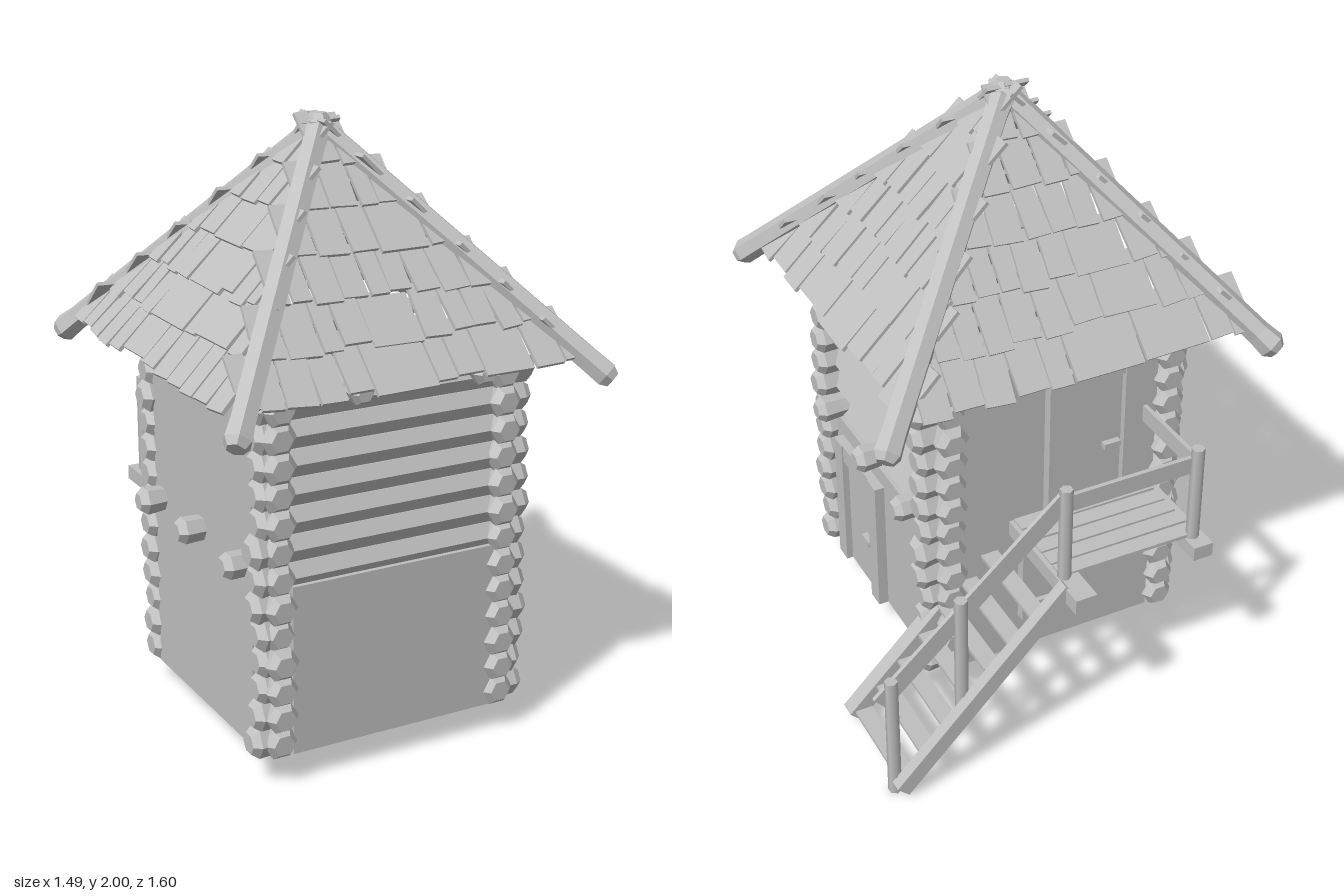
import * as THREE from 'three';

const wood = new THREE.MeshStandardMaterial({ color: 0xbfbfbf });
wood.name = 'plain grey wood';

let seed = 11;
const rnd = () => ((seed = (seed * 16807) % 2147483647) / 2147483647);
const jit = (a) => (rnd() * 2 - 1) * a;
const V = (x, y, z) => new THREE.Vector3(x, y, z);
const UP = V(0, 1, 0);

// tower centre lines
const XL = -0.46, XR = 0.33, ZF = 0.495, ZB = -0.31;
const CX = -0.07, CZ = 0.06;

function add(parent, name, geo) {
  const m = new THREE.Mesh(geo, wood);
  m.name = name;
  parent.add(m);
  return m;
}

// box given by its min and max corners
function box(parent, name, x0, x1, y0, y1, z0, z1) {
  const m = add(parent, name, new THREE.BoxGeometry(x1 - x0, y1 - y0, z1 - z0));
  m.position.set((x0 + x1) / 2, (y0 + y1) / 2, (z0 + z1) / 2);
  return m;
}

// faceted six-sided log with blunt, slightly swollen ends
function log(parent, name, a, b, r, phase = 0) {
  const d = b.clone().sub(a), L = d.length(), k = 0.025;
  const pts = [
    [0, 0], [r * 0.7, 0], [r * (1.1 + jit(0.08)), k], [r, k * 3.4],
    [r, L - k * 3.4], [r * (1.1 + jit(0.08)), L - k], [r * 0.7, L], [0, L],
  ].map(([x, y]) => new THREE.Vector2(x, y));
  const geo = new THREE.LatheGeometry(pts, 6, phase).toNonIndexed();
  geo.computeVertexNormals();
  const m = add(parent, name, geo);
  m.quaternion.setFromUnitVectors(UP, d.normalize());
  m.position.copy(a);
  return m;
}

// sloping plank in the xy plane between two points
function plank(parent, name, x0, y0, x1, y1, h, z, t) {
  const m = add(parent, name, new THREE.BoxGeometry(Math.hypot(x1 - x0, y1 - y0), h, t));
  m.position.set((x0 + x1) / 2, (y0 + y1) / 2, z);
  m.rotation.z = Math.atan2(y1 - y0, x1 - x0);
  return m;
}

function buildWalls() {
  const g = new THREE.Group();
  g.name = 'logWalls';
  for (let i = 0; i < 13; i++) {
    const y = 0.146 + i * 0.09;
    for (const z of [ZF, ZB])
      log(g, 'crossLog', V(-0.54 + jit(0.012), y, z), V(0.435 + jit(0.012), y, z), 0.051);
    for (const x of [XL, XR])
      log(g, 'sideLog', V(x, y, -0.395 + jit(0.012)), V(x, y, 0.57 + jit(0.012)), 0.051, Math.PI / 6);
  }
  // smooth cladding between the corner logs
  box(g, 'frontPanel', -0.42, 0.3, 0.1, 0.66, ZF, ZF + 0.052);
  box(g, 'rightPanel', XR, XR + 0.052, 0.1, 0.66, -0.27, 0.45);
  box(g, 'leftPanel', XL - 0.052, XL, 0.1, 1.24, -0.27, 0.45);
  box(g, 'backPanel', -0.42, 0.3, 0.1, 1.24, ZB - 0.052, ZB);
  // upper floor and the beams that carry it
  box(g, 'upperFloor', XL, XR, 0.67, 0.69, ZB, ZF);
  for (const z of [0.42, 0.09, -0.215])
    log(g, 'floorBeam', V(-0.6, 0.715, z), V(0.47, 0.715, z), 0.042);
  // roof bearers at the wall top
  for (const x of [-0.2, 0.23])
    log(g, 'roofBearer', V(x, 1.25, -0.42), V(x, 1.25, 0.6), 0.036, Math.PI / 6);
  for (const z of [0.33, -0.22])
    log(g, 'roofBearer', V(-0.57, 1.25, z), V(0.45, 1.25, z), 0.036);
  return g;
}

// framed opening facing +z, bottom centre at the origin
function framed(name, w, h, f, sill) {
  const g = new THREE.Group();
  g.name = name;
  box(g, name + 'Leaf', -w / 2 + f, w / 2 - f, 0, h - f, -0.02, 0.012);
  for (const s of [-1, 1]) {
    const c = s * (w - f) / 2;
    box(g, name + 'Post', c - f / 2, c + f / 2, 0, h, -0.02, 0.035);
  }
  box(g, name + 'Lintel', -w / 2, w / 2, h - f, h, -0.02, 0.03);
  if (sill) box(g, name + 'Sill', -w / 2, w / 2, 0.02, 0.02 + f, -0.02, 0.03);
  else box(g, name + 'Handle', w / 2 - f - 0.07, w / 2 - f - 0.01, 0.2, 0.22, 0.01, 0.035);
  return g;
}

function buildRoof() {
  const g = new THREE.Group();
  g.name = 'roof';
  const ends = [[-0.7, -0.61], [0.65, -0.6], [-0.71, 0.77], [0.6, 0.73]];
  for (const [x, z] of ends)
    log(g, 'hipRafter', V(CX, 1.955, CZ), V(x, 1.215, z), 0.042);
  // four slopes of ragged overlapping shingles
  const rows = 6, pitch = 0.152, slope = Math.atan2(0.61, 0.7);
  for (let k = 0; k < 4; k++) {
    const turn = new THREE.Group();
    turn.name = 'roofSide';
    turn.position.set(CX, 1.965, CZ);
    turn.rotation.y = k * Math.PI / 2;
    const face = new THREE.Group();
    face.name = 'shingleSlope';
    face.rotation.x = -slope;
    turn.add(face);
    g.add(turn);
    for (let r = 1; r <= rows; r++) {
      const s = r * pitch + 0.01;
      const half = (s - 0.05) * 0.66;
      let x = -half;
      while (x < half - 0.02) {
        const wide = Math.abs(x) < half * 0.45 && rnd() < 0.4;
        let w = wide ? 0.16 + rnd() * 0.1 : 0.065 + rnd() * 0.05;
        if (x + w > half - 0.04) w = half - x;
        const len = 0.185 + jit(0.012);
        const m = add(face, 'shingle', new THREE.BoxGeometry(w - 0.008, len, 0.013));
        m.position.set(x + w / 2, -s + len / 2 + jit(0.014), 0.006 + jit(0.004));
        m.rotation.set(-0.08, 0, wide ? jit(0.02) : jit(0.05) + (x + w / 2) * 0.15);
        x += w;
      }
    }
  }
  log(g, 'roofPeak', V(CX, 1.9, CZ), V(CX, 2.0, CZ), 0.036);
  return g;
}

function buildBalcony() {
  const g = new THREE.Group();
  g.name = 'balcony';
  box(g, 'deckBeam', -0.415, -0.345, 0.595, 0.645, -0.75, ZB);
  box(g, 'deckBeam', 0.045, 0.12, 0.595, 0.65, -0.81, ZB);
  for (let i = 0; i < 5; i++) {
    const z = -0.395 - i * 0.066;
    const b = box(g, 'deckBoard', -0.39, 0.105, 0.645, 0.657, z - 0.029, z + 0.029);
    b.rotation.y = jit(0.012);
  }
  // round posts for the balcony and the stair
  for (const [x, y0, y1] of [[-0.375, 0.6, 0.99], [0.095, 0.55, 0.99], [0.455, 0.22, 0.69], [0.695, 0, 0.46]]) {
    const p = add(g, 'railPost', new THREE.CylinderGeometry(0.022, 0.022, y1 - y0, 6));
    p.position.set(x, (y0 + y1) / 2, -0.687);
  }
  box(g, 'backRail', -0.39, 0.11, 0.895, 0.955, -0.683, -0.668);
  box(g, 'sideRail', -0.385, -0.37, 0.895, 0.955, -0.7, -0.35);
  plank(g, 'stairRail', 0.085, 0.95, 0.73, 0.375, 0.065, -0.676, 0.014);
  return g;
}

function buildStair() {
  const g = new THREE.Group();
  g.name = 'stair';
  plank(g, 'outerStringer', 0.1, 0.64, 0.69, 0.035, 0.055, -0.725, 0.04);
  plank(g, 'innerStringer', 0.36, 0.365, 0.69, 0.035, 0.055, -0.34, 0.055);
  for (let i = 0; i < 7; i++) {
    const y = 0.055 + i * 0.081, x = 0.66 - i * 0.078;
    box(g, 'stairTread', x - 0.03, x + 0.03, y - 0.006, y + 0.006, -0.715, -0.345);
  }
  return g;
}

export function createModel() {
  const model = new THREE.Group();
  model.name = 'logTower';
  model.add(buildWalls(), buildRoof(), buildBalcony(), buildStair());

  const door = framed('lowerDoor', 0.35, 0.5, 0.065, false);
  door.position.set(XR + 0.052, 0.1, 0.225);
  door.rotation.y = Math.PI / 2;
  const upperDoor = framed('upperDoor', 0.33, 0.53, 0.055, false);
  upperDoor.position.set(-0.17, 0.65, ZB - 0.052);
  upperDoor.rotation.y = Math.PI;
  const windowFrame = framed('window', 0.25, 0.38, 0.04, true);
  windowFrame.position.set(-0.04, 0.24, ZB - 0.052);
  windowFrame.rotation.y = Math.PI;
  model.add(door, upperDoor, windowFrame);
  return model;
}
